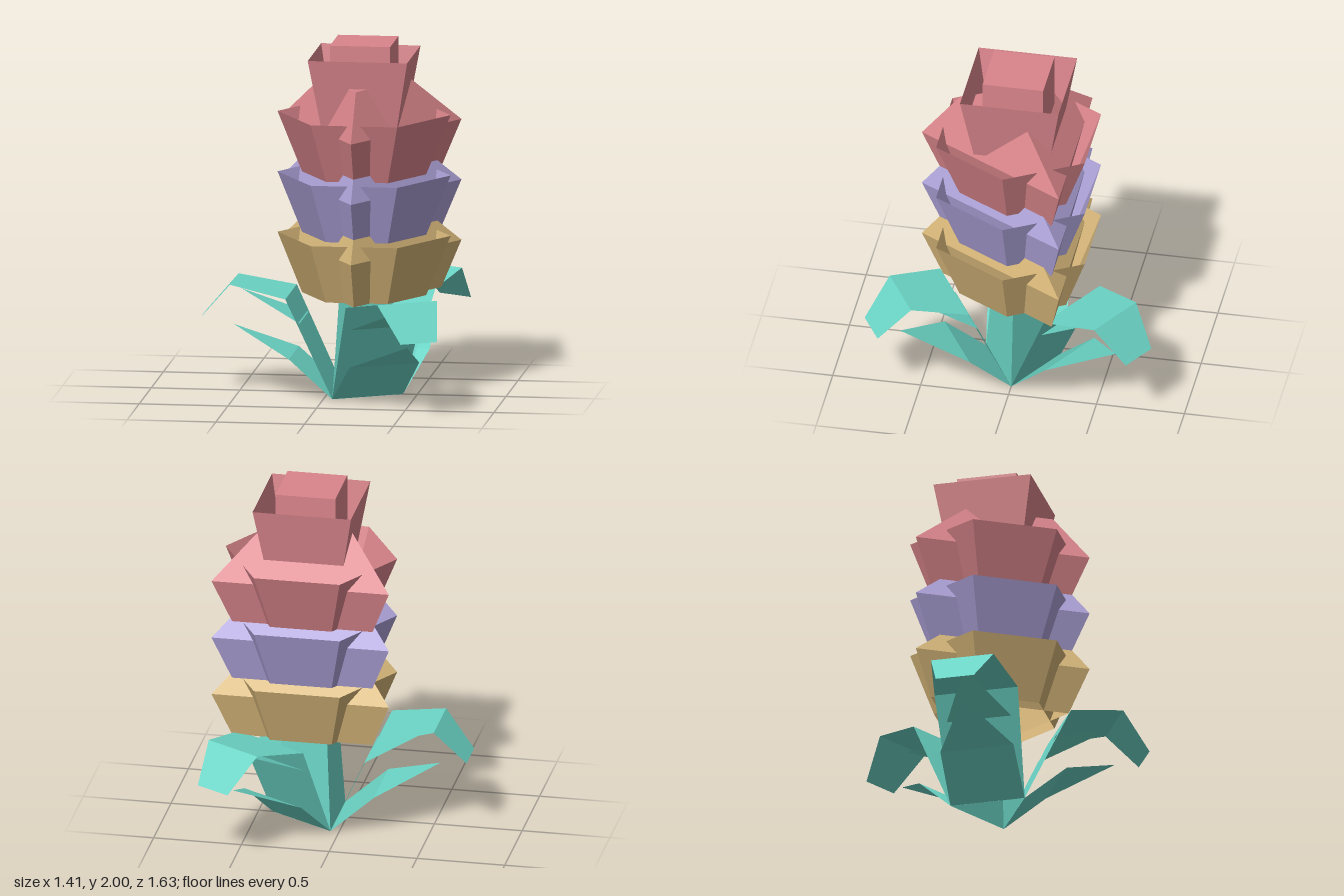
import * as THREE from 'three';

const mat = (name, color) => {
  const m = new THREE.MeshStandardMaterial({ color, flatShading: true, side: THREE.DoubleSide });
  m.name = name;
  return m;
};

// Unshared triangles from a list of quads and triangles (arrays of corner points)
function facesGeometry(faces) {
  const pos = [];
  for (const f of faces) {
    for (let i = 1; i < f.length - 1; i++) pos.push(...f[0], ...f[i], ...f[i + 1]);
  }
  const g = new THREE.BufferGeometry();
  g.setAttribute('position', new THREE.Float32BufferAttribute(pos, 3));
  g.computeVertexNormals();
  return g;
}

// Skin regular polygon rings given as [y, radius, centreX, centreZ]
function loft(sides, startAngle, rings, capTop) {
  const pts = rings.map(([y, r, cx, cz]) => Array.from({ length: sides }, (_, i) => {
    const a = startAngle + (i / sides) * Math.PI * 2;
    return [cx + r * Math.cos(a), y, cz + r * Math.sin(a)];
  }));
  const faces = [];
  for (let k = 0; k < pts.length - 1; k++) {
    for (let i = 0; i < sides; i++) {
      const j = (i + 1) % sides;
      faces.push([pts[k][i], pts[k + 1][i], pts[k + 1][j], pts[k][j]]);
    }
  }
  if (capTop) faces.push([...pts[pts.length - 1]].reverse());
  return facesGeometry(faces);
}

// Folded sheet running outward along +x; sections are [distance, y, halfWidth]
function leafGeometry(sections) {
  const faces = [];
  for (let k = 0; k < sections.length - 1; k++) {
    const [d0, y0, h0] = sections[k];
    const [d1, y1, h1] = sections[k + 1];
    const f = [[d0, y0, -h0], [d0, y0, h0], [d1, y1, h1]];
    if (h1 > 0) f.push([d1, y1, -h1]);
    faces.push(f);
  }
  return facesGeometry(faces);
}

export function createModel() {
  const root = new THREE.Group();
  root.name = 'flower';
  const green = mat('leaf green', 0x6bd5c6);
  const gold = mat('gold', 0xd6b679);
  const lilac = mat('lilac', 0xada2d8);
  const rose = mat('rose', 0xd9858b);
  const add = (name, geo, material, parent = root) => {
    const m = new THREE.Mesh(geo, material);
    m.name = name;
    parent.add(m);
    return m;
  };

  // Three-sided tapering stem
  const sx = 0.173;
  add('stem', loft(3, 0, [[0, 0.247, sx, 0], [0.6, 0.181, sx, 0]], true), green);

  // Three bunches of leaves, one along each side of the stem
  const leaves = {
    longLeaf: leafGeometry([[0.123, 0, 0.214], [0.385, 0.565, 0.24], [0.705, 0.63, 0.18], [0.878, 0.43, 0.11]]),
    middleLeaf: leafGeometry([[0.123, 0, 0.214], [0.312, 0.42, 0.19], [0.667, 0.58, 0]]),
    shortLeaf: leafGeometry([[0.123, 0, 0.214], [0.369, 0.22, 0.211], [0.708, 0.375, 0]]),
  };
  for (let i = 0; i < 3; i++) {
    const bunch = new THREE.Group();
    bunch.name = 'leafBunch';
    bunch.position.x = sx;
    bunch.rotation.y = Math.PI / 3 + (i * Math.PI * 2) / 3;
    for (const [name, geo] of Object.entries(leaves)) add(name, geo, green, bunch);
    root.add(bunch);
  }

  // Three tiers: an open six-sided cup with a roofed triangular blossom through it
  const cx = 0.2;
  const cup = loft(6, 0, [[0, 0.35, cx, 0], [0.34, 0.488, cx, 0]], false);
  const blossom = loft(3, Math.PI / 2, [
    [0, 0.462, cx, -0.033], [0.26, 0.583, cx, -0.033], [0.52, 0.293, cx, 0.047],
  ], true);
  [gold, lilac, rose].forEach((material, i) => {
    const tier = new THREE.Group();
    tier.name = 'tier';
    tier.position.y = 0.565 + i * 0.343;
    add('cup', cup, material, tier);
    add('blossom', blossom, material, tier);
    root.add(tier);
  });

  // Open square crown with a block rising out of it
  const q = Math.SQRT2;
  add('crown', loft(4, Math.PI / 4, [[1.55, 0.215 * q, cx, 0], [1.93, 0.28 * q, cx, 0]], false), rose);
  add('topBud', new THREE.BoxGeometry(0.34, 0.4, 0.345), rose).position.set(cx, 1.8, 0);

  return root;
}
